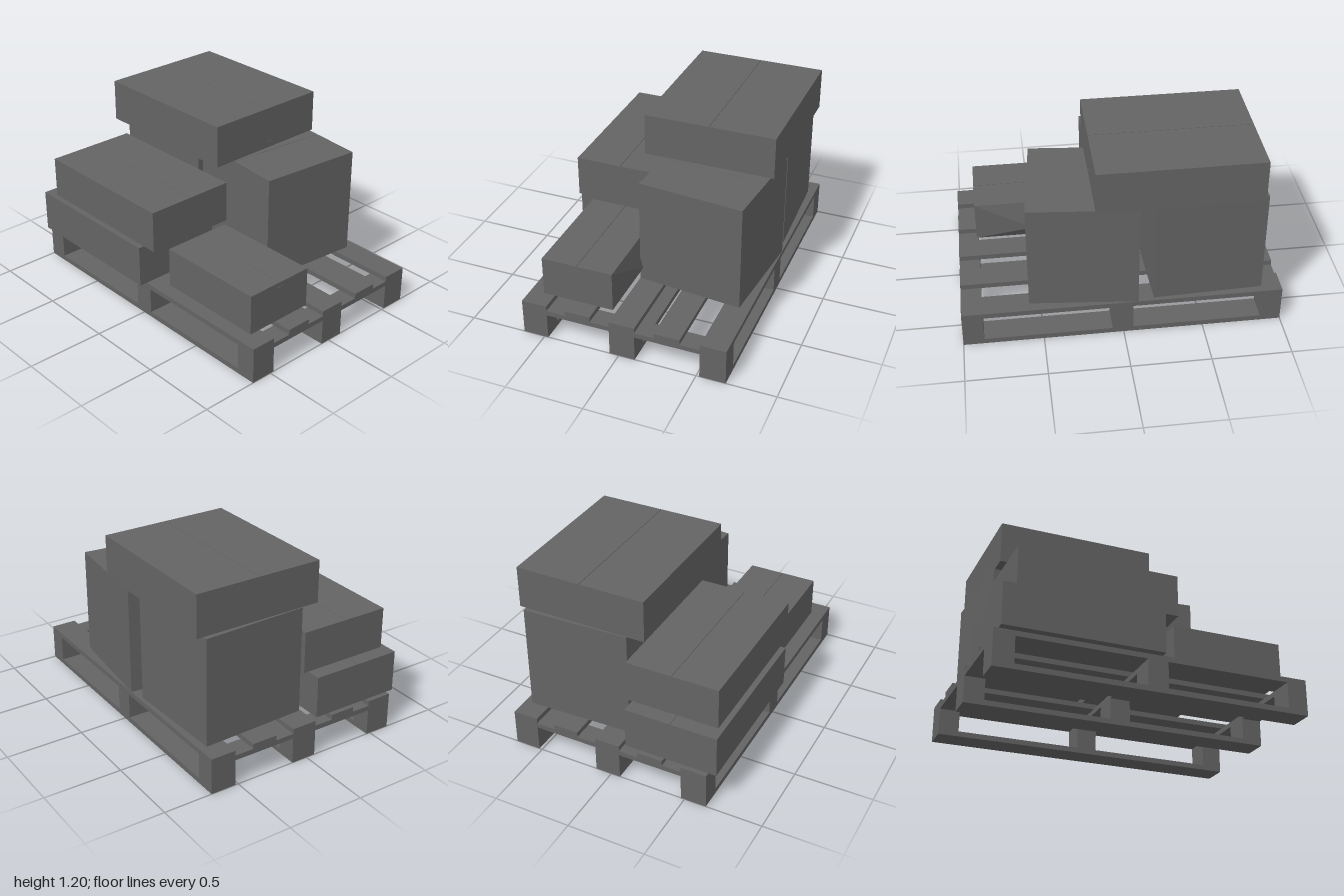
import * as THREE from 'three';

export function createModel() {
  const model = new THREE.Group();
  model.name = 'loadedPallet';
  const grey = new THREE.MeshStandardMaterial({ color: 0x646464 });
  grey.name = 'grey';

  function box(parent, name, w, h, d, x, y, z) {
    const mesh = new THREE.Mesh(new THREE.BoxGeometry(w, h, d), grey);
    mesh.name = name;
    mesh.position.set(x, y, z);
    parent.add(mesh);
    return mesh;
  }

  // Pallet: runners and blocks, cross boards, deck planks
  const pallet = new THREE.Group();
  pallet.name = 'pallet';
  model.add(pallet);
  const plank = 0.165;
  const rowsZ = [-0.935, 0.005, 0.935];
  for (const x of [-0.5575, 0.0225, 0.6025]) {
    box(pallet, 'runner', plank, 0.034, 2, x, 0.017, 0);
    for (const z of rowsZ) box(pallet, 'block', plank, 0.136, 0.13, x, 0.102, z);
  }
  for (const z of rowsZ) box(pallet, 'crossBoard', 1.325, 0.032, 0.13, 0.0225, 0.186, z);
  for (let i = 0; i < 5; i++) {
    box(pallet, 'deckPlank', plank, 0.033, 2, -0.5575 + i * 0.29, 0.2185, 0);
  }

  // Carton: a body closed by two flaps that meet in a narrow seam
  function carton(name, [w, h, d], [x, y, z], turn = 0, seamAlongX = false) {
    const group = new THREE.Group();
    group.name = name;
    group.position.set(x, y, z);
    group.rotation.y = turn;
    model.add(group);
    const t = 0.004, gap = 0.003;
    box(group, 'cartonBody', w, h - t, d, 0, (h - t) / 2, 0);
    for (const s of [-1, 1]) {
      if (seamAlongX) box(group, 'flap', w, t, (d - gap) / 2, 0, h - t / 2, s * (d + gap) / 4);
      else box(group, 'flap', (w - gap) / 2, t, d, s * (w + gap) / 4, h - t / 2, 0);
    }
    return group;
  }

  const deck = 0.235;
  carton('frontTallCarton', [0.68, 0.695, 0.675], [0.312, deck, 0.212], -0.096, true);
  carton('backTallCarton', [0.685, 0.695, 0.685], [0.305, deck, -0.52], 0.036, true);
  const top = carton('topCarton', [0.843, 0.27, 1.013], [0.2575, 0.93, -0.3375]);
  carton('lowerSideCarton', [0.6, 0.27, 1.005], [-0.39, deck, -0.4675]);
  carton('upperSideCarton', [0.6, 0.268, 1.013], [-0.355, 0.507, -0.372]);
  const small = carton('smallFrontCarton', [0.464, 0.26, 0.727], [-0.317, deck, 0.5165]);

  // Small tape ends on the front faces
  box(top, 'tapeEnd', 0.035, 0.004, 0.004, 0.027, 0.04, 0.507);
  box(small, 'tapeEnd', 0.045, 0.004, 0.004, 0.002, 0.228, 0.364);

  // Bulging side of the small carton: four faces meeting at a point
  const x = 0.232, zb = 0.3635;
  const corners = [[x, 0, -zb], [x, 0.26, -zb], [x, 0.26, zb], [x, 0, zb]];
  const apex = [0.277, 0.083, -0.005];
  const points = corners.flatMap((c, i) => [...c, ...corners[(i + 1) % 4], ...apex]);
  const geometry = new THREE.BufferGeometry();
  geometry.setAttribute('position', new THREE.Float32BufferAttribute(points, 3));
  geometry.computeVertexNormals();
  const bulge = new THREE.Mesh(geometry, grey);
  bulge.name = 'bulgingSide';
  small.add(bulge);

  return model;
}
